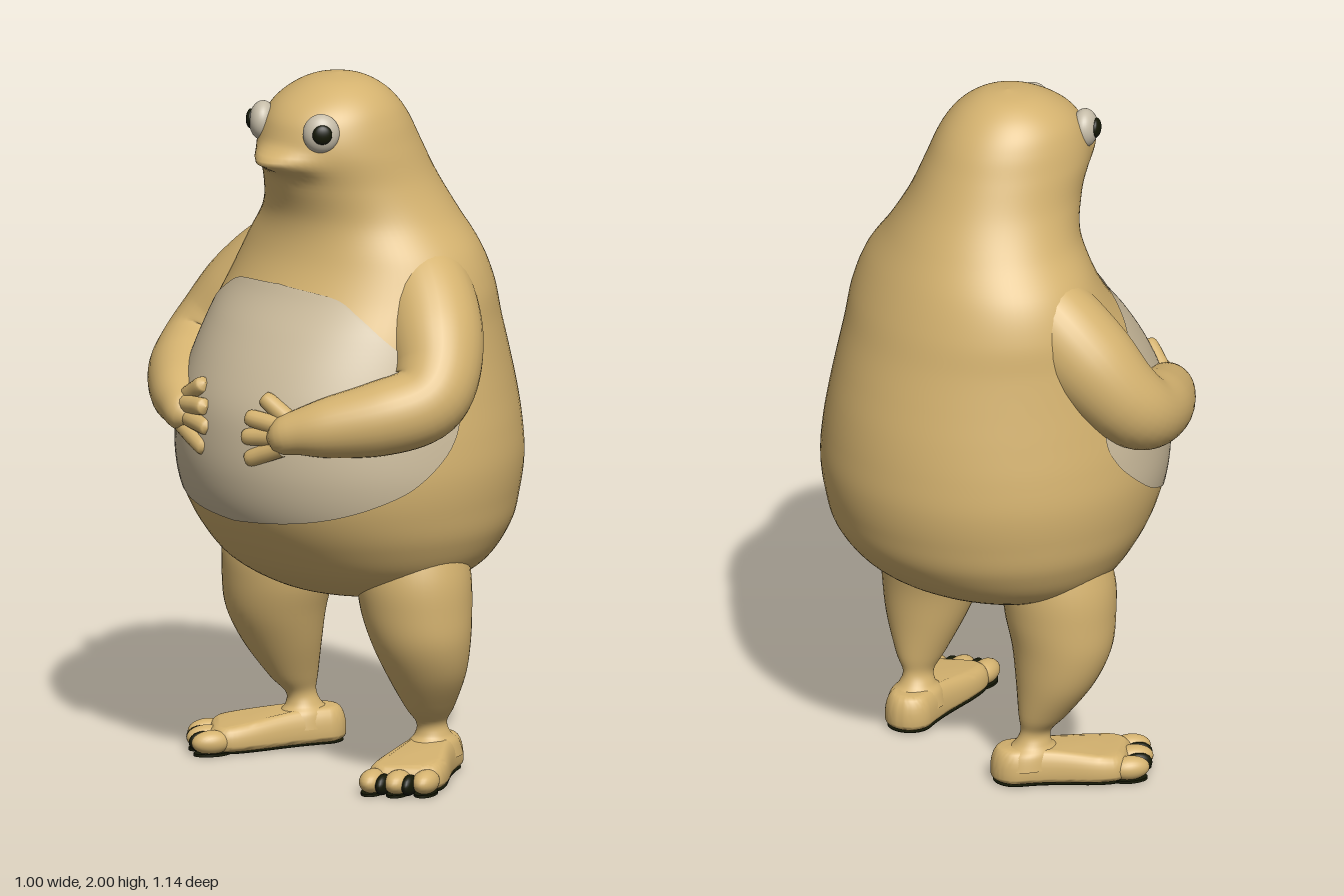
import * as THREE from 'three';
import { toCreasedNormals, mergeVertices } from 'three/addons/utils/BufferGeometryUtils.js';

const mat = (name, color, side = THREE.FrontSide) => {
  const m = new THREE.MeshStandardMaterial({ color, side });
  m.name = name;
  return m;
};

// Smooth surface from fn(u, v); columns close into a loop when wrap is true
function grid(rows, cols, wrap, fn) {
  const pos = [], idx = [], w = wrap ? cols : cols + 1;
  for (let i = 0; i <= rows; i++)
    for (let j = 0; j < w; j++) pos.push(...fn(i / rows, j / cols));
  for (let i = 0; i < rows; i++)
    for (let j = 0; j < cols; j++) {
      const a = i * w + j, b = i * w + (j + 1) % w;
      idx.push(a, b, a + w, b, b + w, a + w);
    }
  const g = new THREE.BufferGeometry();
  g.setAttribute('position', new THREE.Float32BufferAttribute(pos, 3));
  g.setIndex(idx);
  g.computeVertexNormals();
  return g;
}

// Catmull-Rom through rows of numbers, t in 0..1
function sample(rows, t) {
  const n = rows.length - 1, f = Math.min(t, 1) * n, i = Math.min(Math.floor(f), n - 1), s = f - i;
  const [p, a, b, q] = [rows[Math.max(i - 1, 0)], rows[i], rows[i + 1], rows[Math.min(i + 2, n)]];
  return a.map((_, k) => {
    const m0 = (b[k] - p[k]) / 2, m1 = (q[k] - a[k]) / 2, d = b[k] - a[k];
    return a[k] + s * (m0 + s * (3 * d - 2 * m0 - m1 + s * (m0 + m1 - 2 * d)));
  });
}

// Point on an upright stack of ellipses: rows are [y, x0, x1, z0, z1]
function stackPoint(rows, t, ang, grow = 0) {
  const [y, x0, x1, z0, z1] = sample(rows, t);
  const a = Math.max(0, (x1 - x0) / 2) + grow, b = Math.max(0, (z1 - z0) / 2) + grow;
  return [(x0 + x1) / 2 - a * Math.cos(ang), y, (z0 + z1) / 2 + b * Math.sin(ang)];
}

// Tapered rounded limb: points are [x, y, z, radius]
function limb(pts, rows = 32, cols = 24) {
  const curve = new THREE.CatmullRomCurve3(pts.map(p => new THREE.Vector3(p[0], p[1], p[2])), false, 'catmullrom');
  const fr = curve.computeFrenetFrames(rows);
  return grid(rows, cols, true, (u, v) => {
    const i = Math.round(u * rows), c = curve.getPointAt(u), a = v * Math.PI * 2;
    const r = Math.max(0, sample(pts, curve.getUtoTmapping(u))[3]);
    return c.addScaledVector(fr.normals[i], r * Math.cos(a)).addScaledVector(fr.binormals[i], r * Math.sin(a)).toArray();
  });
}

// Body and head profile: y, front x, back x, half width
const BODY = [
  [0.5, 0.02, 0.02, 0], [0.506, -0.08, 0.12, 0.13], [0.53, -0.19, 0.21, 0.25], [0.6, -0.31, 0.36, 0.385],
  [0.7, -0.4, 0.45, 0.45], [0.8, -0.46, 0.485, 0.475], [0.9, -0.487, 0.5, 0.485], [1.0, -0.49, 0.495, 0.477],
  [1.1, -0.475, 0.48, 0.46], [1.2, -0.43, 0.455, 0.44], [1.3, -0.365, 0.425, 0.42], [1.4, -0.285, 0.395, 0.4],
  [1.5, -0.232, 0.355, 0.36], [1.6, -0.215, 0.305, 0.288], [1.7, -0.243, 0.252, 0.24], [1.8, -0.282, 0.203, 0.215],
  [1.87, -0.272, 0.167, 0.195], [1.92, -0.24, 0.13, 0.17], [1.96, -0.185, 0.085, 0.13], [1.988, -0.12, 0.03, 0.075],
  [2.0, -0.04, -0.04, 0],
].map(([y, x0, x1, b]) => [y, x0, x1, -b, b]);

function bodyPoint(t, ang, grow) {
  const p = stackPoint(BODY, t, ang, grow);
  // pointed snout pulled out of the face
  const c = Math.max(0, Math.cos(ang));
  p[0] -= 0.066 * Math.exp(-(((p[1] - 1.78) / 0.03) ** 2)) * c ** 10;
  return p;
}

// Profile parameter at a given height
function tAt(y) {
  let lo = 0, hi = 1;
  for (let i = 0; i < 30; i++) {
    const m = (lo + hi) / 2;
    if (sample(BODY, m)[0] < y) lo = m; else hi = m;
  }
  return lo;
}

// Belly patch: height, half angle in degrees
const PATCH = [[0.77, 0], [0.785, 22], [0.81, 40], [0.85, 56], [0.9, 69], [1.0, 83], [1.1, 87],
  [1.2, 76], [1.3, 56], [1.37, 40], [1.41, 27], [1.425, 0]];

const LEG = [
  [0.05, -0.01, 0.175, 0.185, 0.33], [0.09, 0.0, 0.16, 0.195, 0.322], [0.115, 0.022, 0.13, 0.213, 0.307],
  [0.15, 0.02, 0.116, 0.225, 0.302],
  [0.2, -0.025, 0.125, 0.21, 0.34], [0.3, -0.09, 0.13, 0.175, 0.405], [0.4, -0.14, 0.135, 0.145, 0.437],
  [0.5, -0.162, 0.147, 0.115, 0.44], [0.6, -0.165, 0.15, 0.11, 0.432], [0.72, -0.13, 0.13, 0.14, 0.4],
];

export function createModel() {
  const skin = mat('tan skin', 0xd4b26f);
  const belly = mat('pale belly', 0xcaba9b, THREE.DoubleSide);
  const eyeWhite = mat('eye white', 0xc6bda9);
  const dark = mat('near black', 0x151806);
  const model = new THREE.Group();
  model.name = 'standingCreature';
  const add = (parent, name, geo, m) => {
    const mesh = new THREE.Mesh(geo, m);
    mesh.name = name;
    parent.add(mesh);
    return mesh;
  };

  add(model, 'bodyAndHead', grid(140, 80, true, (u, v) => bodyPoint(u, v * Math.PI * 2, 0)), skin);
  add(model, 'bellyPatch', grid(60, 48, false, (u, v) => {
    const [y, deg] = sample(PATCH, u);
    return bodyPoint(tAt(y), (v * 2 - 1) * THREE.MathUtils.degToRad(Math.max(0, deg)), 0.004);
  }), belly);

  for (const side of [1, -1]) {
    const half = new THREE.Group();
    half.name = side > 0 ? 'sideTowardPlusZ' : 'sideTowardMinusZ';
    half.scale.z = side;
    model.add(half);

    // Arm, bent around the belly
    add(half, 'arm', limb([
      [0.07, 1.51, 0.14, 0.1], [0.03, 1.41, 0.265, 0.135], [-0.025, 1.3, 0.37, 0.138], [-0.085, 1.2, 0.438, 0.122],
      [-0.155, 1.135, 0.452, 0.112], [-0.26, 1.1, 0.392, 0.106], [-0.37, 1.075, 0.298, 0.086],
      [-0.43, 1.06, 0.233, 0.064], [-0.46, 1.045, 0.185, 0.048], [-0.472, 1.04, 0.145, 0],
    ], 60, 32), skin);

    // Hand: three fingers and a thumb
    const finger = (name, a, b, r) => {
      const mid = a.map((x, k) => (x + b[k]) / 2), near = a.map((x, k) => x + (b[k] - x) * 0.92);
      add(half, name, limb([[...a, r], [...mid, r], [...near, r * 0.85], [...b, 0]], 16, 14), skin);
    };
    [[1.075, 1.09], [1.045, 1.03], [1.015, 0.965]].forEach(([y0, y1], i) =>
      finger('finger' + (i + 1), [-0.456, y0, 0.2], [-0.482, y1, 0.066 + 0.014 * Math.abs(i - 1)], 0.026));
    finger('thumb', [-0.43, 1.08, 0.225], [-0.452, 1.15, 0.115], 0.026);

    // Leg with a flared ankle
    add(half, 'leg', grid(50, 40, true, (u, v) => stackPoint(LEG, u, v * Math.PI * 2)), skin);

    // Foot: bevelled outline, lower towards the toes
    const foot = new THREE.Group();
    foot.name = 'foot';
    const turn = 0.45, d = new THREE.Vector3(-Math.cos(turn), 0, Math.sin(turn));
    const n = new THREE.Vector3(Math.sin(turn), 0, Math.cos(turn));
    foot.applyMatrix4(new THREE.Matrix4().makeBasis(d, n, new THREE.Vector3(0, 1, 0)).setPosition(0.12, 0, 0.237));
    half.add(foot);
    const outline = new THREE.Shape();
    outline.absarc(-0.002, 0, 0.04, Math.PI / 2, Math.PI * 1.5, false);
    outline.bezierCurveTo(0.12, -0.04, 0.2, -0.072, 0.28, -0.072);
    outline.quadraticCurveTo(0.315, -0.072, 0.315, -0.04);
    outline.lineTo(0.285, 0.04);
    outline.quadraticCurveTo(0.28, 0.08, 0.25, 0.08);
    outline.bezierCurveTo(0.18, 0.08, 0.12, 0.04, -0.002, 0.04);
    let g = new THREE.ExtrudeGeometry(outline, {
      depth: 0.01, bevelSize: 0.03, bevelThickness: 0.04, bevelSegments: 6, curveSegments: 14,
    });
    const p = g.attributes.position;
    for (let i = 0; i < p.count; i++) {
      const z = p.getZ(i) + 0.04;
      const k = THREE.MathUtils.lerp(1.15, 0.7, THREE.MathUtils.smoothstep(p.getX(i), 0.02, 0.36));
      p.setZ(i, 0.005 + (z < 0.04 ? z * 0.5 : 0.02 + (z - 0.04) * 1.4 * k));
    }
    g.deleteAttribute('normal');
    g.deleteAttribute('uv');
    g = toCreasedNormals(mergeVertices(g), 0.9);
    add(foot, 'footBody', g, skin);
    add(foot, 'sole', new THREE.ExtrudeGeometry(outline, {
      depth: 0.002, bevelSize: 0.023, bevelThickness: 0.003, bevelSegments: 1, curveSegments: 14,
    }).translate(0, 0, 0.003), dark);

    // Toes, shorter towards the outside, with dark pads and gaps
    [[0.347, -0.07], [0.338, 0.002], [0.31, 0.075]].forEach(([u, w], i) => {
      const toe = add(foot, 'toe' + (i + 1), new THREE.SphereGeometry(1, 24, 16), skin);
      toe.scale.set(0.058, 0.036, 0.034);
      toe.position.set(u, w, 0.036);
      const pad = add(foot, 'toePad' + (i + 1), new THREE.CylinderGeometry(1, 1, 1, 24).rotateX(Math.PI / 2), dark);
      pad.scale.set(0.052, 0.031, 0.008);
      pad.position.set(u, w, 0.004);
    });
    for (const [u, w] of [[0.36, -0.034], [0.343, 0.038]]) {
      const gap = add(foot, 'toeGap', new THREE.SphereGeometry(1, 20, 14), dark);
      gap.scale.set(0.042, 0.02, 0.03);
      gap.position.set(u, w, 0.031);
    }

    // Eye: shallow disc lying along the face, with a raised pupil
    const eye = new THREE.Group();
    eye.name = 'eye';
    eye.position.set(-0.224, 1.87, 0.118);
    eye.quaternion.setFromUnitVectors(new THREE.Vector3(0, 0, 1), new THREE.Vector3(-0.62, 0.03, 0.78).normalize());
    half.add(eye);
    add(eye, 'eyeball', new THREE.SphereGeometry(1, 32, 24), eyeWhite).scale.set(0.052, 0.056, 0.038);
    const pupil = add(eye, 'pupil', new THREE.SphereGeometry(1, 24, 16), dark);
    pupil.scale.set(0.028, 0.028, 0.014);
    pupil.position.set(0, 0.003, 0.033);
  }
  return model;
}
